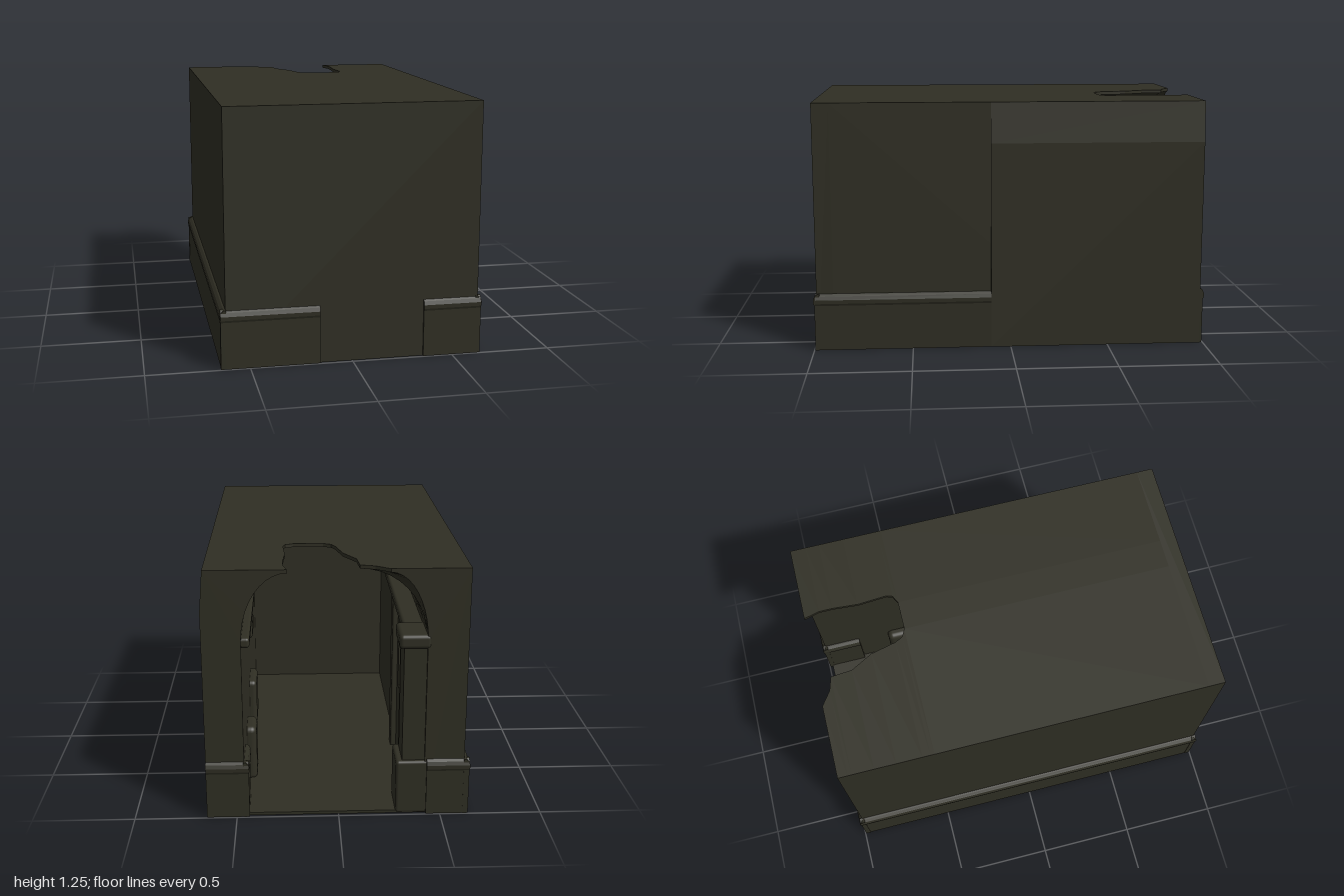
import * as THREE from 'three';
import { RoundedBoxGeometry } from 'three/addons/geometries/RoundedBoxGeometry.js';

const stone = new THREE.MeshStandardMaterial({ color: 0x2f2e23, side: THREE.DoubleSide });
stone.name = 'dark olive stone';

export function createModel() {
  const group = new THREE.Group();
  const add = (name, geo, x = 0, y = 0, z = 0, ry = 0) => {
    const m = new THREE.Mesh(geo, stone);
    m.name = name;
    m.position.set(x, y, z);
    m.rotation.y = ry;
    group.add(m);
    return m;
  };
  // Box given by its limits on each axis
  const block = (name, x0, x1, y0, y1, z0, z1, r = 0) => {
    const s = [x1 - x0, y1 - y0, z1 - z0];
    const geo = r ? new RoundedBoxGeometry(...s, 3, r) : new THREE.BoxGeometry(...s);
    return add(name, geo, (x0 + x1) / 2, (y0 + y1) / 2, (z0 + z1) / 2);
  };
  const shapeOf = (pts) => new THREE.Shape(pts.map((p) => new THREE.Vector2(...p)));
  const extrude = (pts, depth) =>
    new THREE.ExtrudeGeometry(shapeOf(pts), { depth, bevelEnabled: false });

  // Solid through counter-clockwise sections placed at rising z
  function loft(sections) {
    const pos = [];
    const put = (p, z) => pos.push(p[0], p[1], z);
    for (let k = 0; k < sections.length - 1; k++) {
      const A = sections[k], B = sections[k + 1], n = A.pts.length;
      for (let i = 0; i < n; i++) {
        const j = (i + 1) % n;
        put(A.pts[i], A.z); put(A.pts[j], A.z); put(B.pts[j], B.z);
        put(A.pts[i], A.z); put(B.pts[j], B.z); put(B.pts[i], B.z);
      }
    }
    for (const [s, flip] of [[sections[0], true], [sections[sections.length - 1], false]]) {
      const tris = THREE.ShapeUtils.triangulateShape(s.pts.map((p) => new THREE.Vector2(...p)), []);
      for (const t of tris) (flip ? [t[0], t[2], t[1]] : t).forEach((i) => put(s.pts[i], s.z));
    }
    const geo = new THREE.BufferGeometry();
    geo.setAttribute('position', new THREE.Float32BufferAttribute(pos, 3));
    geo.computeVertexNormals();
    return geo;
  }

  // Side wall with its half of the vault; edge lists the [z, x] of the broken roof
  function halfVault(name, outer, wall, edge, mirrored) {
    const sections = edge.map(([z, hx]) => {
      const pts = [[outer, 0], [wall, 0]];
      for (let i = 0; i <= 10; i++) {
        const t = (i / 10) * Math.PI / 2;
        pts.push([hx + (wall - hx) * Math.cos(t), 0.9 + 0.338 * Math.sin(t)]);
      }
      pts.push([hx, 1.255], [outer, 1.255]);
      if (mirrored) pts.reverse();
      return { z, pts };
    });
    add(name, loft(sections));
  }
  halfVault('rightWall', -0.615, -0.42, [
    [-0.98, -0.24], [-0.93, -0.17], [-0.91, -0.1], [-0.8, -0.09], [-0.69, -0.03],
    [-0.56, 0], [-0.52, 0.02], [-0.5, 0.06], [0.9, 0.06]], false);
  halfVault('leftWall', 0.63, 0.46, [
    [-0.98, 0.24], [-0.9, 0.26], [-0.83, 0.26], [-0.7, 0.25], [-0.55, 0.26],
    [-0.52, 0.25], [-0.5, 0.21], [0.9, 0.21]], true);
  block('roofCrown', 0.06, 0.21, 1.238, 1.255, -0.5, 0.9);
  block('frontWall', -0.615, 0.63, 0, 1.255, 0.9, 0.985);
  block('floor', -0.62, 0.63, 0, 0.015, -0.98, 0.95);

  // Thicker rear part of the left outer wall
  add('leftOuterPanel', extrude(
    [[0, 0], [0.027, 0], [0.027, 1.05], [0.01, 1.255], [0, 1.255]], 1.08), 0.62, 0, -0.98);

  // Plinth with a rounded moulding along its top
  const plinthProfile = [[0, 0], [0.026, 0], [0.026, 0.232], [0.031, 0.243], [0.032, 0.262],
    [0.025, 0.28], [0.012, 0.291], [0, 0.293]];
  const plinth = (name, len, x, z, ry) => add(name, extrude(plinthProfile, len), x, 0, z, ry);
  const H = Math.PI / 2;
  plinth('leftPlinth', 0.89, 0.619, 0.1, 0);
  plinth('rightPlinth', 1.99, -0.612, 0.995, Math.PI);
  plinth('frontPlinthRight', 0.48, -0.16, 0.969, -H);
  plinth('frontPlinthLeft', 0.29, 0.645, 0.969, -H);
  plinth('rearPlinthRight', 0.21, -0.64, -0.968, H);
  plinth('rearPlinthLeft', 0.21, 0.437, -0.968, H);
  plinth('leftDoorwayPlinth', 0.22, 0.465, -0.775, Math.PI);

  // Recessed jamb pilaster beside the opening
  block('jambPilaster', -0.44, -0.31, 0, 0.9, -0.965, -0.8);
  block('jambBase', -0.44, -0.28, 0, 0.28, -0.985, -0.77, 0.015);
  block('jambCapital', -0.44, -0.285, 0.86, 0.93, -0.985, -0.77, 0.02);

  // Inner wall lining with a window-like niche
  const lining = shapeOf([[-0.8, 0], [0.9, 0], [0.9, 0.9], [-0.8, 0.9]]);
  const niche = new THREE.Path();
  niche.moveTo(-0.6, 0.4).lineTo(-0.6, 0.78).lineTo(-0.28, 0.78).lineTo(-0.28, 0.4).closePath();
  lining.holes.push(niche);
  const liningGeo = new THREE.ExtrudeGeometry(lining, { depth: 0.07, bevelEnabled: false });
  add('rightInnerLining', liningGeo.rotateY(-H), -0.355);
  for (const z of [-0.72, -0.22])
    block('innerPilaster', -0.37, -0.325, 0, 0.87, z, z + 0.1, 0.01);

  // Cornices where the vault springs
  block('rightCornice', -0.43, -0.32, 0.87, 0.92, -0.8, 0.9, 0.015);
  block('leftCornice', 0.42, 0.48, 0.87, 0.92, -0.97, 0.9, 0.015);

  // Worn relief blocks on the left inner wall
  block('reliefPier', 0.41, 0.48, 0, 0.3, -0.6, -0.42, 0.03);
  block('reliefBoss', 0.42, 0.48, 0.12, 0.38, -0.15, 0.08, 0.025);
  block('reliefLedge', 0.425, 0.48, 0.72, 0.82, -0.42, -0.22, 0.025);

  return group;
}
